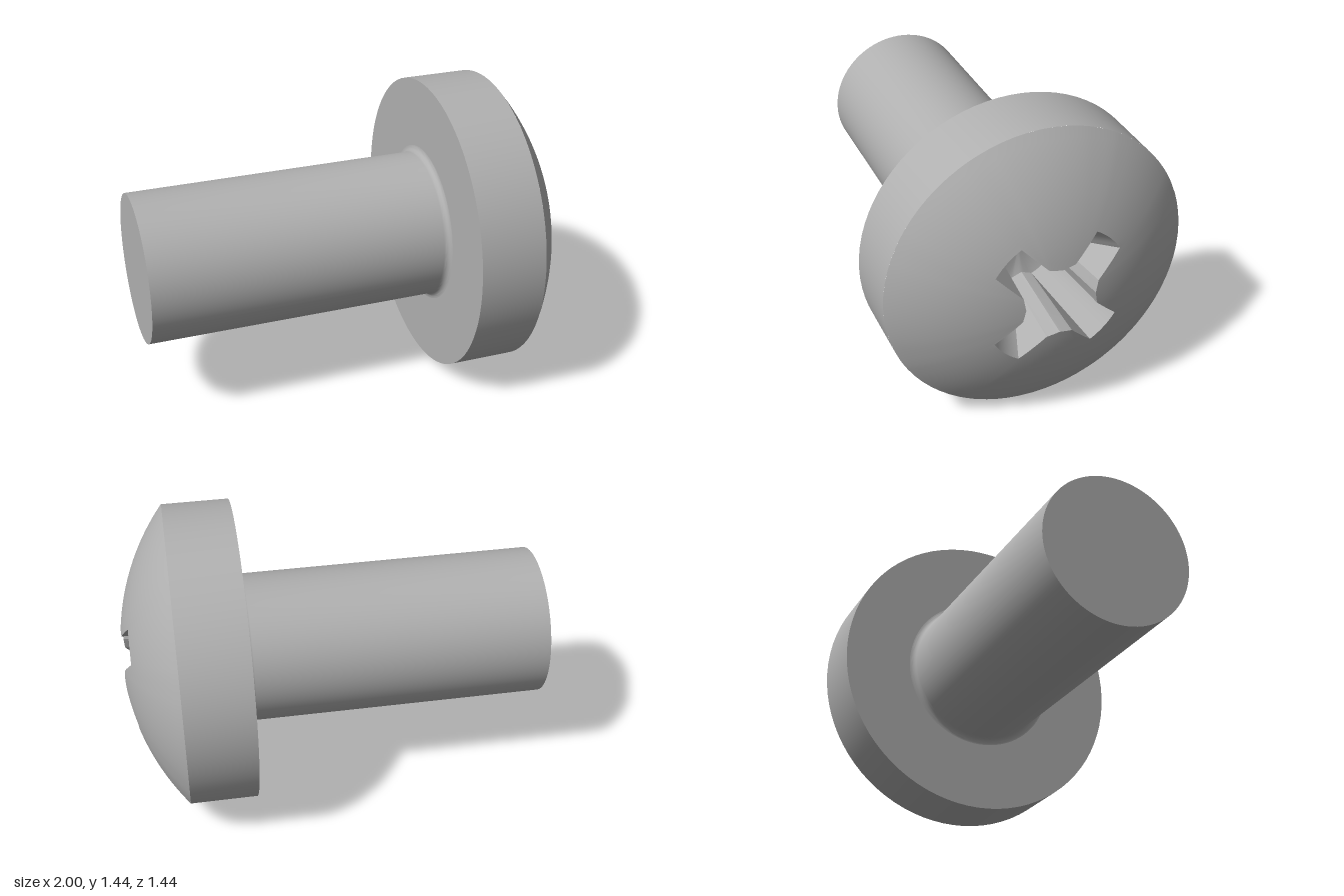
import * as THREE from 'three';
import { toCreasedNormals } from 'three/addons/utils/BufferGeometryUtils.js';

const HEAD_R = 0.718, DOME_R = 1.13, APEX = 1.01;
const domeY = (r) => APEX - DOME_R + Math.sqrt(DOME_R * DOME_R - r * r);

// Cross-shaped loop of [x, z] points: notch radius, shoulder, arm tip radius, half width
function crossLoop(notchR, shoulderU, tipR, half) {
  const loop = [], tipA = Math.asin(half / tipR), tipU = tipR * Math.cos(tipA);
  const n = notchR * Math.SQRT1_2;
  const line = (a, b, steps, out) => {
    for (let i = 0; i < steps; i++) {
      const t = i / steps;
      out.push([a[0] + (b[0] - a[0]) * t, a[1] + (b[1] - a[1]) * t]);
    }
  };
  for (let arm = 0; arm < 4; arm++) {
    const pts = [];
    line([n, -n], [shoulderU, -half], 4, pts);
    line([shoulderU, -half], [tipU, -half], 3, pts);
    for (let i = 0; i < 6; i++) {
      const a = -tipA + (2 * tipA * i) / 6;
      pts.push([tipR * Math.cos(a), tipR * Math.sin(a)]);
    }
    line([tipU, half], [shoulderU, half], 3, pts);
    line([shoulderU, half], [n, n], 4, pts);
    const t = Math.PI / 4 + (arm * Math.PI) / 2, c = Math.cos(t), s = Math.sin(t);
    for (const [u, v] of pts) loop.push([u * c - v * s, u * s + v * c]);
  }
  return loop;
}

// Surface through rings of [x, y, z] points, ordered from the inside out
function skin(rings) {
  const n = rings[0].length, index = [];
  for (let k = 0; k < rings.length - 1; k++) {
    for (let i = 0; i < n; i++) {
      const a = k * n + i, b = k * n + ((i + 1) % n);
      index.push(a, b, a + n, b, b + n, a + n);
    }
  }
  const g = new THREE.BufferGeometry();
  g.setAttribute('position', new THREE.Float32BufferAttribute(rings.flat(2), 3));
  g.setIndex(index);
  g.computeVertexNormals();
  return g;
}

export function createModel() {
  const steel = new THREE.MeshStandardMaterial({ color: 0xb0b0b0 });
  steel.name = 'steel grey';
  const screw = new THREE.Group();
  screw.name = 'screw';
  const add = (name, geometry) => {
    const mesh = new THREE.Mesh(geometry, steel);
    mesh.name = name;
    screw.add(mesh);
  };
  const lathe = (pts) => toCreasedNormals(
    new THREE.LatheGeometry(pts.map((p) => new THREE.Vector2(...p)), 80), 0.5);

  // Plain shank with a small fillet under the head
  const shank = [[0, -1], [0.356, -1]];
  for (let i = 0; i <= 6; i++) {
    const a = (i / 6) * Math.PI / 2;
    shank.push([0.386 - 0.03 * Math.cos(a), 0.405 + 0.03 * Math.sin(a)]);
  }
  add('shank', lathe(shank));

  // Head underside and cylindrical rim
  add('headRim', lathe([[0.386, 0.435], [HEAD_R, 0.435], [HEAD_R, domeY(HEAD_R)]]));

  // Domed top, spreading from the recess outline to the round edge
  const rim = crossLoop(0.165, 0.168, 0.34, 0.082);
  const dome = [];
  for (let k = 0; k <= 14; k++) {
    dome.push(rim.map(([x, z]) => {
      const r0 = Math.hypot(x, z), r = r0 + (HEAD_R - r0) * (k / 14);
      return [(x / r0) * r, domeY(r), (z / r0) * r];
    }));
  }
  add('headDome', skin(dome));

  // Tapered cross recess: walls, sloping arm floors and shallow cone at the bottom
  const floorY = 0.6, tip = 0.144, half = 0.06;
  const floor = crossLoop(0.115, Math.sqrt(tip * tip - half * half), tip, half)
    .map(([x, z]) => [x, floorY, z]);
  add('driveRecess', toCreasedNormals(skin([floor, dome[0]]), 0.3));
  add('recessFloor', toCreasedNormals(skin([floor.map(() => [0, floorY - 0.04, 0]), floor]), 0.6));

  // Lay along x with the head on +x, tipped very slightly downward
  screw.rotation.z = -Math.PI / 2 - 0.0075;
  screw.position.y = 0.7245;
  const model = new THREE.Group();
  model.name = 'panHeadScrew';
  model.add(screw);
  return model;
}
